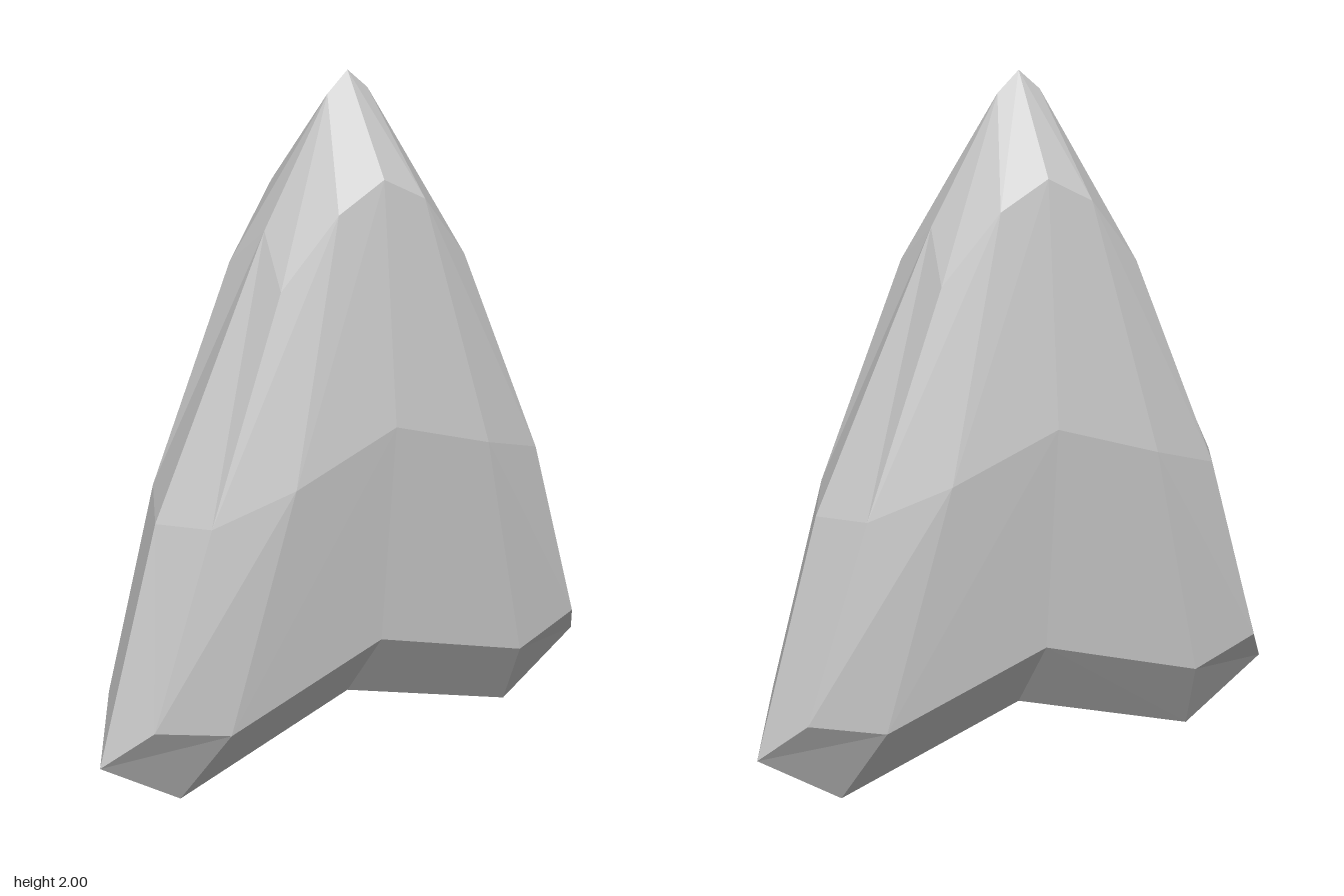
import * as THREE from 'three';

// Half outlines from tip to notch, on the +x side: [x, y, z]
const edge = [[0, 2, 0], [0.06, 1.945, 0], [0.25, 1.61, 0], [0.59, 0.86, 0], [0.78, 0.175, 0], [0.54, 0.005, 0], [0, 0.19, 0]];
const rim = [[0, 1.755, 0.18], [0.13, 1.68, 0.172], [0.28, 1.49, 0.135], [0.51, 0.89, 0.165], [0.68, 0.32, 0.135], [0.47, 0.27, 0.175], [0, 0.435, 0.18]];
// Highest points of the broad face
const crown = [0, 1.095, 0.248];
const shoulder = [0.3, 0.98, 0.24];

// Flat-shaded quads, mirrored by sx and sz with the corner order kept outward
function facets(quads, sx, sz) {
  const pos = [];
  for (const [a, b, c, d] of quads) {
    const tris = [[a, b, c], [a, c, d]];
    for (const t of tris) {
      if (sx * sz < 0) t.reverse();
      for (const [x, y, z] of t) pos.push(x * sx, y, z * sz);
    }
  }
  const geo = new THREE.BufferGeometry();
  geo.setAttribute('position', new THREE.Float32BufferAttribute(pos, 3));
  geo.computeVertexNormals();
  return geo;
}

export function createModel() {
  const model = new THREE.Group();
  model.name = 'arrowhead';
  const material = new THREE.MeshStandardMaterial({ color: 0xcccccc, flatShading: true });

  // Broad face: four large facets per quarter (counter-clockwise from +z)
  const face = [
    [rim[0], crown, shoulder, rim[1]],
    [rim[1], shoulder, rim[3], rim[2]],
    [crown, rim[6], rim[5], shoulder],
    [shoulder, rim[5], rim[4], rim[3]],
  ];
  // Bevel between the face and the cutting edge
  const bevel = [];
  for (let i = 0; i < rim.length - 1; i++) bevel.push([edge[i], rim[i], rim[i + 1], edge[i + 1]]);

  for (const sz of [1, -1]) {
    for (const sx of [1, -1]) {
      const label = (sz > 0 ? 'front' : 'back') + (sx > 0 ? 'Left' : 'Right');
      for (const [part, quads] of [['Face', face], ['Bevel', bevel]]) {
        const mesh = new THREE.Mesh(facets(quads, sx, sz), material);
        mesh.name = label + part;
        model.add(mesh);
      }
    }
  }
  return model;
}
